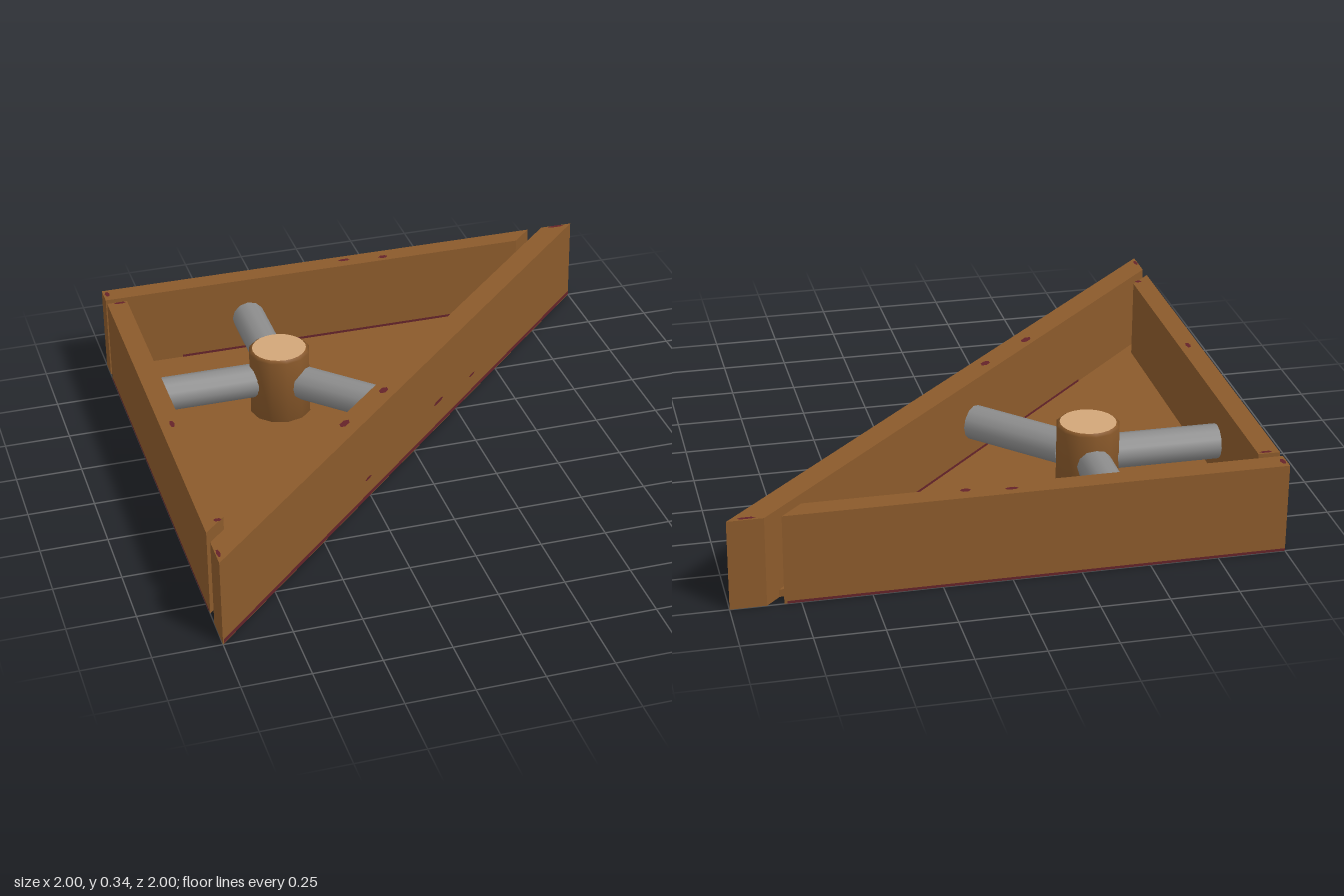
import * as THREE from 'three';

export function createModel() {
  const model = new THREE.Group();
  const mat = (name, color) => Object.assign(new THREE.MeshStandardMaterial({ color }), { name });
  const wood = mat('brown wood', 0x8b5a2b);
  const cutWood = mat('pale cut wood', 0xd2a679);
  const metal = mat('grey metal', 0x8c8c8c);
  const stain = mat('dark red stain', 0x642329);

  const add = (name, geometry, material, parent = model) => {
    const mesh = new THREE.Mesh(geometry, material);
    mesh.name = name;
    parent.add(mesh);
    return mesh;
  };

  // Upright slab from a plan outline of [x, z] corners
  const slab = (name, plan, bottom, top) => {
    const shape = new THREE.Shape(plan.map(([x, z]) => new THREE.Vector2(x, -z)));
    const g = new THREE.ExtrudeGeometry(shape, { depth: top - bottom, bevelEnabled: false });
    g.rotateX(-Math.PI / 2).translate(0, bottom, 0);
    return add(name, g, wood);
  };

  // Triangular tray: floor and three boards with open joints
  const H = 0.34, floorTop = 0.03;
  slab('floor', [[-0.95, -0.95], [0.89, -0.95], [-0.95, 0.89]], 0.001, floorTop);
  slab('backBoard', [[-1, -1], [0.81, -1], [0.73, -0.92], [-1, -0.92]], 0, H);
  slab('sideBoard', [[-1, -0.89], [-0.92, -0.89], [-0.92, 0.73], [-1, 0.81]], 0, H);
  slab('diagonalBoard', [[0.87, -1], [1, -1], [-1, 1], [-1, 0.87]], 0, H);

  // Central post with a bevelled rim and pale top
  const c = -0.42, postTop = 0.3;
  const profile = [[0, 0], [0.12, 0], [0.12, 0.29], [0.105, postTop]].map(([r, y]) => new THREE.Vector2(r, y));
  add('post', new THREE.LatheGeometry(profile, 12), wood).position.set(c, 0, c);
  const cap = add('postTop', new THREE.CircleGeometry(0.105, 24), cutWood);
  cap.rotation.x = -Math.PI / 2;
  cap.position.set(c, postTop, c);

  // Three pipes joining the post to the boards
  const pipe = (name, angle, end) => {
    const start = 0.1, length = end - start;
    const g = new THREE.CylinderGeometry(0.066, 0.066, length, 12);
    g.rotateX(Math.PI / 2).translate(0, 0, start + length / 2);
    const mesh = add(name, g, metal);
    mesh.position.set(c, 0.17, c);
    mesh.rotation.y = angle;
  };
  pipe('backPipe', Math.PI, 0.5);
  pipe('sidePipe', -Math.PI / 2, 0.5);
  pipe('diagonalPipe', Math.PI / 4, 0.5);

  // Stained lower edges and spots, laid on a vertical face
  const face = (name, x, z, angle) => {
    const group = new THREE.Group();
    group.name = name;
    group.position.set(x, 0, z);
    group.rotation.y = angle;
    model.add(group);
    return group;
  };
  const edge = (parent, u, y, w, h) =>
    add('stainedEdge', new THREE.PlaneGeometry(w, h), stain, parent).position.set(u, y, 0.002);
  const spot = (parent, u, y, w, h) => {
    const mesh = add('stainSpot', new THREE.CircleGeometry(0.5, 6), stain, parent);
    mesh.scale.set(w, h, 1);
    mesh.position.set(u, y, 0.002);
  };

  const diagonal = face('diagonalStains', 0, 0, Math.PI / 4);
  edge(diagonal, 0, 0.012, 2.82, 0.016);
  [[-0.37, 0.085, 0.05, 0.012], [0.2, 0.115, 0.08, 0.018], [0.49, 0.085, 0.05, 0.01]]
    .forEach((s) => spot(diagonal, ...s));
  edge(face('diagonalInnerStains', -0.065, -0.065, -Math.PI * 3 / 4), 0, floorTop + 0.005, 1.6, 0.01);
  edge(face('backStains', -0.1, -1, Math.PI), 0, 0.006, 1.8, 0.01);
  edge(face('backInnerStains', -0.1, -0.92, 0), 0, floorTop + 0.005, 1.2, 0.01);
  edge(face('sideStains', -1, -0.04, -Math.PI / 2), 0, 0.006, 1.68, 0.01);

  // Spots on the top edges of the boards: x, z, length, width, turn
  [
    [0, -0.965, 0.05, 0.02, 0], [0.16, -0.945, 0.04, 0.025, 0], [-0.985, -0.965, 0.02, 0.04, 0],
    [-0.955, 0.08, 0.02, 0.05, 0], [-0.95, -0.88, 0.05, 0.015, 0], [-0.945, 0.745, 0.03, 0.02, 0],
    [-0.145, 0.08, 0.05, 0.03, Math.PI / 4], [-0.35, 0.265, 0.06, 0.03, Math.PI / 4],
    [-0.99, 0.945, 0.015, 0.05, 0], [0.93, -0.99, 0.07, 0.015, 0],
  ].forEach(([x, z, w, d, turn]) => {
    const g = new THREE.CircleGeometry(0.5, 6).scale(w, d, 1).rotateX(-Math.PI / 2).rotateY(turn);
    add('topStainSpot', g, stain).position.set(x, H + 0.002, z);
  });

  return model;
}
